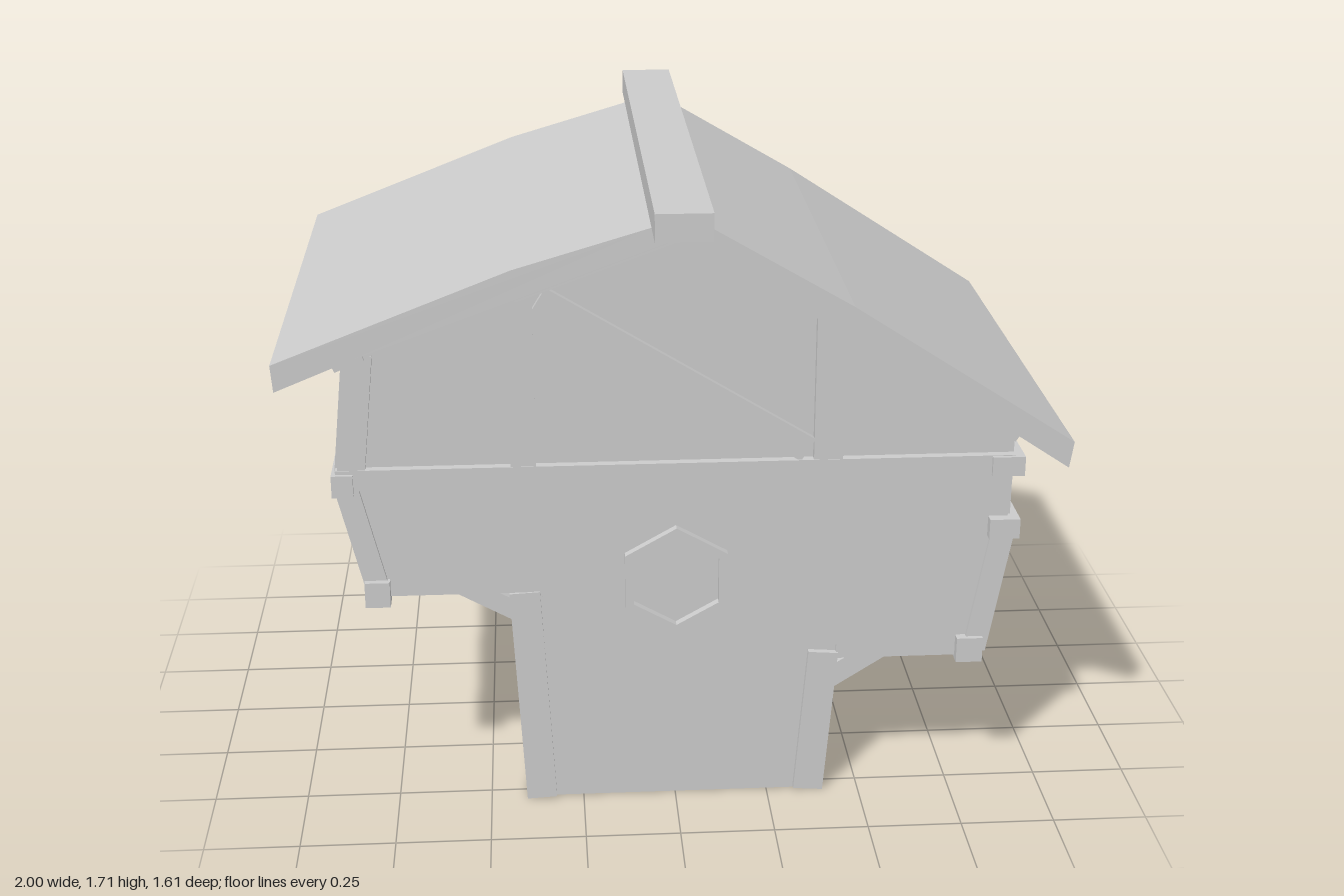
import * as THREE from 'three';

const mat = new THREE.MeshStandardMaterial({ color: 0xcccccc, flatShading: true });
const wallMat = new THREE.MeshStandardMaterial({ color: 0xcccccc, flatShading: true, side: THREE.DoubleSide });

export function createModel() {
  const model = new THREE.Group();

  const add = (name, geo, material = mat) => {
    const mesh = new THREE.Mesh(geo, material);
    mesh.name = name;
    model.add(mesh);
    return mesh;
  };
  const shapeOf = pts => new THREE.Shape(pts.map(p => new THREE.Vector2(...p)));

  // Box given by its limits
  const box = (name, x0, x1, y0, y1, z0, z1) =>
    add(name, new THREE.BoxGeometry(x1 - x0, y1 - y0, z1 - z0))
      .position.set((x0 + x1) / 2, (y0 + y1) / 2, (z0 + z1) / 2);

  // Timber running between two points of the xy plane, spanning z0..z1
  const bar = (name, [xa, ya], [xb, yb], w, z0, z1) => {
    const m = add(name, new THREE.BoxGeometry(Math.hypot(xb - xa, yb - ya), w, z1 - z0));
    m.position.set((xa + xb) / 2, (ya + yb) / 2, (z0 + z1) / 2);
    m.rotation.z = Math.atan2(yb - ya, xb - xa);
  };

  // Outline extruded over z0..z1
  const slab = (name, pts, z0, z1) => {
    const geo = new THREE.ExtrudeGeometry(shapeOf(pts), { depth: z1 - z0, bevelEnabled: false });
    return add(name, geo.translate(0, 0, z0));
  };

  // Window frame: outline with a smaller copy cut out around centre c
  const frame = (name, pts, c, k, z0, z1) => {
    const s = shapeOf(pts);
    s.holes.push(new THREE.Path(pts.map(([x, y]) =>
      new THREE.Vector2(c[0] + (x - c[0]) * k, c[1] + (y - c[1]) * k))));
    const geo = new THREE.ExtrudeGeometry(s, { depth: z1 - z0, bevelEnabled: false });
    return add(name, geo.translate(0, 0, z0));
  };
  const rect = (x0, x1, y0, y1) => [[x0, y0], [x1, y0], [x1, y1], [x0, y1]];

  // House shell, open underneath
  const W = 0.535;
  const upper = [[0.79, 0.4], [0.87, 0.78], [0.88, 0.8], [0.88, 1.06], [0.42, 1.38],
    [0, 1.62], [-0.41, 1.47], [-0.83, 1.31], [-0.865, 0.93], [-0.795, 0.62]];
  const outline = [[0.395, 0], [0.425, 0.4], ...upper, [-0.425, 0.62], [-0.39, 0]];
  const front = new THREE.ShapeGeometry(shapeOf(outline));
  add('frontWall', front.clone().translate(0, 0, W), wallMat);
  add('backWall', front.clone().translate(0, 0, -W), wallMat);
  const pos = [], idx = [];
  outline.forEach(([x, y], i) => {
    pos.push(x, y, W, x, y, -W);
    const a = i * 2;
    if (i < outline.length - 1) idx.push(a, a + 1, a + 2, a + 1, a + 3, a + 2);
  });
  const sides = new THREE.BufferGeometry();
  sides.setAttribute('position', new THREE.Float32BufferAttribute(pos, 3));
  sides.setIndex(idx);
  const flatSides = sides.toNonIndexed();
  flatSides.computeVertexNormals();
  add('sideWalls', flatSides, wallMat);

  // Raised facing on the front, over the recessed ground floor
  slab('frontFacing', [[0.43, 0.44], [0.43, 0.4], [0.79, 0.4], [0.87, 0.78], [0.88, 0.95],
    [-0.865, 0.95], [-0.795, 0.62], [-0.35, 0.62], [-0.35, 0.44]], W, 0.547);

  // Roof and ridge beam
  slab('roof', [[-1, 1.31], [-0.995, 1.24], [-0.8, 1.32], [-0.41, 1.46], [0, 1.61], [0.42, 1.37],
    [0.99, 0.99], [1, 1.06], [0.43, 1.43], [0.07, 1.64], [0, 1.66], [-0.07, 1.64], [-0.41, 1.54]], -0.675, 0.675);
  box('ridgeBeam', -0.07, 0.07, 1.64, 1.71, -0.805, 0.805);

  // Timbers shared by both gables
  for (const s of [1, -1]) {
    const z = (a, b) => s > 0 ? [a, b] : [-b, -a];
    const face = z(0.525, 0.556);
    // Ground floor corner posts
    bar('cornerPost', [0.363, 0.003], [0.395, 0.42], 0.08, ...z(0.455, 0.552));
    bar('cornerPost', [-0.363, 0.003], [-0.397, 0.62], 0.08, ...z(0.455, 0.552));
    // Timbers under the roof
    const rim = [[-0.84, 1.285], [-0.41, 1.44], [0, 1.59], [0.42, 1.35], [0.89, 1.035]];
    for (let i = 0; i < 4; i++) bar('gableRim', rim[i], rim[i + 1], 0.045, ...face);
    // Slanting corner timbers
    bar('sideTimber', [-0.833, 0.94], [-0.797, 1.29], 0.07, ...face);
    bar('sideTimber', [-0.778, 0.65], [-0.842, 0.92], 0.06, ...face);
    bar('sideTimber', [0.8, 0.42], [0.862, 0.78], 0.06, ...z(0.455, 0.56));
    // Props under the overhangs
    bar('prop', [0.41, 0.225], [0.72, 0.425], 0.06, ...z(0.29, 0.37));
    bar('prop', [-0.415, 0.475], [-0.7, 0.635], 0.055, ...z(0.29, 0.37));
  }

  // Front gable timbers
  box('frontRail', -0.87, 0.88, 0.925, 0.98, 0.525, 0.558);
  box('frontPost', -0.425, -0.36, 0.97, 1.45, 0.525, 0.556);
  box('frontPost', 0.355, 0.43, 0.97, 1.38, 0.525, 0.556);
  bar('frontDiagonal', [-0.345, 1.425], [0.34, 1.005], 0.07, 0.525, 0.553);
  const hex = [...Array(6)].map((_, i) => {
    const a = Math.PI / 2 + i * Math.PI / 3;
    return [0.155 * Math.cos(a), 0.65 + 0.152 * Math.sin(a)];
  });
  frame('frontWindowFrame', hex, [0, 0.65], 0.83, 0.54, 0.57);

  // Back gable timbers
  box('backPost', 0.36, 0.43, 0.38, 1.38, -0.56, -0.525);
  box('backPost', -0.43, -0.36, 0.6, 1.46, -0.56, -0.525);
  for (const y of [0.43, 0.68, 1.0]) box('backRail', -0.39, 0.39, y - 0.025, y + 0.025, -0.555, -0.525);
  for (const x of [-0.18, 0.18]) box('backWindowPost', x - 0.035, x + 0.035, 0.69, 0.99, -0.552, -0.525);
  box('backSideRail', 0.42, 0.88, 0.925, 0.975, -0.558, -0.525);
  bar('backDiagonal', [0.42, 0.7], [0.84, 0.885], 0.05, -0.553, -0.525);
  frame('atticWindowFrame', [[-0.25, 1.1], [0.25, 1.1], [0.25, 1.4], [0, 1.48], [-0.25, 1.4]],
    [0, 1.27], 0.84, -0.57, -0.53);
  frame('smallWindowFrame', rect(-0.72, -0.52, 0.7, 0.92), [-0.62, 0.81], 0.76, -0.565, -0.53);

  // Door and knob
  box('door', 0.07, 0.315, 0.005, 0.31, -0.545, -0.53);
  const knob = add('doorKnob', new THREE.SphereGeometry(0.011, 8, 6));
  knob.position.set(0.285, 0.155, -0.555);

  // Beams and posts of the left bay
  box('leftTopBeam', 0.82, 0.905, 0.925, 0.978, -0.568, 0.568);
  box('leftMiddleBeam', 0.82, 0.9, 0.75, 0.805, -0.575, 0.575);
  box('leftBottomBeam', 0.75, 0.82, 0.39, 0.46, -0.573, 0.573);
  for (const z of [-0.21, 0.21]) bar('leftBayPost', [0.795, 0.43], [0.86, 0.78], 0.06, z - 0.037, z + 0.037);

  // Beams, posts and windows of the right bay
  box('rightBottomBeam', -0.81, -0.745, 0.6, 0.67, -0.573, 0.573);
  bar('rightMiddleBeam', [-0.853, 0.91], [-0.853, 0.97], 0.055, -0.568, 0.568);
  bar('rightTopBeam', [-0.865, 1.27], [-0.79, 1.3], 0.05, -0.56, 0.56);
  for (const z of [-0.5, -0.17, 0.17, 0.5])
    bar('rightUpperPost', [-0.845, 0.95], [-0.81, 1.28], 0.06, z - 0.035, z + 0.035);
  for (const z of [-0.33, 0, 0.33]) {
    const w = frame('rightWindowFrame', rect(-0.11, 0.11, -0.105, 0.105), [0, 0], 0.74, -0.01, 0.025);
    w.position.set(-0.834, 0.79, z);
    w.rotation.set(0, -Math.PI / 2, 0.22, 'ZYX');
  }
  return model;
}
